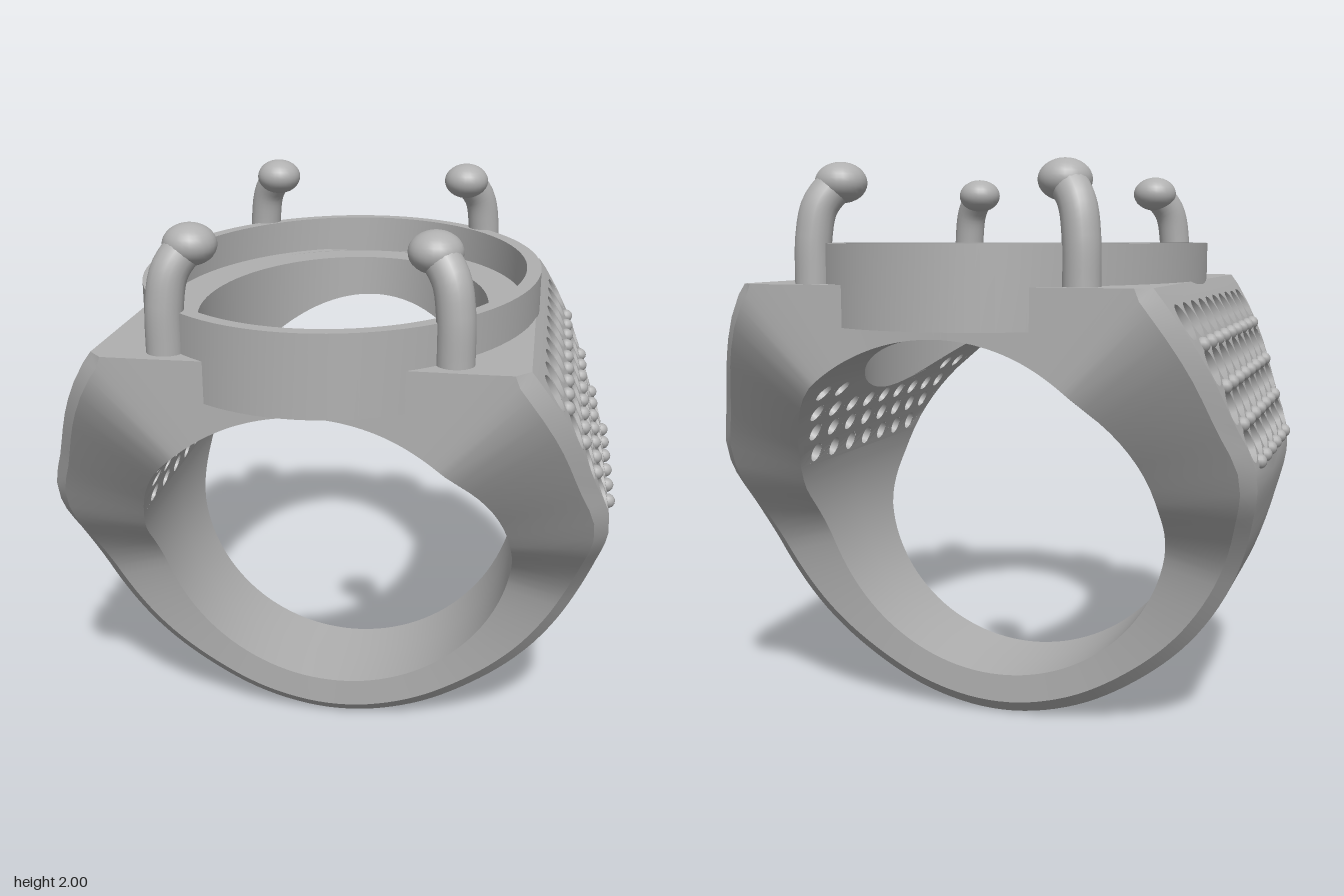
import * as THREE from 'three';
import { mergeGeometries, toCreasedNormals } from 'three/addons/utils/BufferGeometryUtils.js';

const RAD = Math.PI / 180;
const CY = 0.8, BORE = 0.645, TOP = 1.61, PITCH = 0.143;

// smooth interpolation through [angle, value] pairs
function curve(pts) {
  const slope = i => {
    const a = pts[Math.max(i - 1, 0)], b = pts[Math.min(i + 1, pts.length - 1)];
    return (b[1] - a[1]) / (b[0] - a[0]);
  };
  return x => {
    let i = 0;
    while (i < pts.length - 2 && x > pts[i + 1][0]) i++;
    const [x0, y0] = pts[i], [x1, y1] = pts[i + 1], h = x1 - x0, t = (x - x0) / h;
    const t2 = t * t, t3 = t2 * t;
    return (2 * t3 - 3 * t2 + 1) * y0 + (t3 - 2 * t2 + t) * h * slope(i)
      + (3 * t2 - 2 * t3) * y1 + (t3 - t2) * h * slope(i + 1);
  };
}

// angle is measured in degrees around the finger hole, from the side upwards
const sideRadius = curve([[-90, 0.8], [-70, 0.8], [-50, 0.81], [-29, 0.85], [-13, 0.89], [0, 0.93],
  [11.8, 0.981], [24, 0.976], [37.8, 1.012], [50, 1.057]]);
const outerRadius = a => (a < 50 ? sideRadius(a) : (TOP - CY) / Math.sin(a * RAD));
const halfWidth = curve([[-90, 0.207], [-70, 0.21], [-50, 0.22], [-29, 0.245], [-13, 0.285], [-6, 0.33],
  [0, 0.39], [6, 0.46], [18, 0.56], [30, 0.67], [45, 0.81], [50, 0.83], [70, 0.83], [90, 0.83]]);
const chamfer = a => (a <= 50 ? 0.05 : 0);
const ellipse = (x, rx, rz) => (x < rx ? rz * Math.sqrt(1 - (x / rx) ** 2) : 0);
const openTop = a => (a > 50 ? Math.min(halfWidth(a), ellipse(outerRadius(a) * Math.cos(a * RAD), 0.6, 0.84)) : 0);
const openBore = a => (a > 37 ? ellipse(BORE * Math.cos(a * RAD), 0.51, 0.75) : 0);

const polar = (a, r, z) => [r * Math.cos(a * RAD), CY + r * Math.sin(a * RAD), z];
// depth 0 is the outer face, depth 1 the finger hole
const inBody = (a, z, depth) => polar(a, outerRadius(a) * (1 - depth) + BORE * depth, z);

function toGeometry(positions) {
  const g = new THREE.BufferGeometry();
  g.setAttribute('position', new THREE.Float32BufferAttribute(positions, 3));
  return g;
}
function quad(out, a, b, c, d, flip = false) {
  if (flip) [b, d] = [d, b];
  out.push(...a, ...b, ...c, ...a, ...c, ...d);
}

// pave rows: angle of the row, number of seats, and the band of wall around it
const ROWS = [
  { a: 43, n: 10, lo: 37.75, hi: 47.5 }, { a: 34, n: 9, lo: 30, hi: 37.75 },
  { a: 26, n: 8, lo: 22, hi: 30 }, { a: 17.8, n: 7, lo: 13.5, hi: 22 },
];
const spread = n => Array.from({ length: n }, (_, j) => (j - (n - 1) / 2) * PITCH);
const angularScale = depth => (1.05 * (1 - depth) + BORE * depth) * RAD;

// a wall band with round holes, cut flat in (angle, z) and wrapped on the body
function piercedBand(out, contour, holes, a, radius, depth) {
  const shape = new THREE.Shape(contour.map(p => new THREE.Vector2(p[0] * RAD, p[1])));
  for (const z of holes) {
    const path = new THREE.Path();
    path.absellipse(a * RAD, z, radius / angularScale(depth) * RAD, radius, 0, Math.PI * 2, false, 0);
    shape.holes.push(path);
  }
  const g = new THREE.ShapeGeometry(shape, 16), p = g.attributes.position, ix = g.index.array;
  for (let i = 0; i < ix.length; i += 3) {
    const tri = depth ? [ix[i], ix[i + 2], ix[i + 1]] : [ix[i], ix[i + 1], ix[i + 2]];
    for (const k of tri) out.push(...inBody(p.getX(k) / RAD, p.getY(k), depth));
  }
}

// one half of the ring body, x >= 0
function halfBody() {
  const out = [];
  const stations = [];
  for (let a = -90; a < 12; a += 3) stations.push(a);
  stations.push(13.5, 17.75, 22, 26, 30, 33.875, 37.75, 42.625, 47.5, 50);
  for (let a = 52; a <= 90; a += 2) stations.push(a);
  const profile = (a, s) => {
    const w = halfWidth(a), c = chamfer(a), r = outerRadius(a);
    return [polar(a, r, s * openTop(a)), polar(a, r, s * (w - c)), polar(a, r - c, s * w),
      polar(a, BORE, s * w), polar(a, BORE, s * openBore(a))];
  };
  for (const s of [1, -1]) {
    for (let i = 0; i + 1 < stations.length; i++) {
      const a = stations[i], b = stations[i + 1], P = profile(a, s), Q = profile(b, s);
      const pave = a >= 13.5 && b <= 47.5;
      for (let k = 0; k < 4; k++) {
        if (pave && (k === 0 || k === 3)) continue;
        quad(out, P[k], Q[k], Q[k + 1], P[k + 1], s < 0);
      }
    }
  }
  // pierced bands inside and out, and the stepped seats between them
  ROWS.forEach(({ a, n, lo, hi }, row) => {
    const zs = spread(n), steps = [lo, (lo + hi) / 2, hi];
    const back = [...steps].reverse();
    const band = inset => [...steps.map(t => [t, -halfWidth(t) + inset]), ...back.map(t => [t, halfWidth(t) - inset])];
    piercedBand(out, band(0.05), zs, a, 0.064, 0);
    if (row > 0) piercedBand(out, band(0), zs, a, 0.035, 1);
    else for (const s of [1, -1]) {
      const edge = [0, 0.03, 0.1, 0.25, 0.5, 0.75, 1].map(t => lo + (hi - lo) * t);
      piercedBand(out, [...edge.map(t => [t, s * openBore(t)]), ...back.map(t => [t, s * halfWidth(t)])],
        zs.filter(z => z * s > 0.45), a, 0.035, 1);
    }
    for (const z of zs) {
      const end = row === 0 && Math.abs(z) < 0.45 ? 0.8 : 1;
      const rings = [[0.064, 0], [0.058, 0.2], [0.035, 0.2], [0.035, end]];
      const at = ([r, depth], i) => {
        const t = i / 16 * Math.PI * 2;
        return inBody(a + r / angularScale(depth) * Math.cos(t), z + r * Math.sin(t), depth);
      };
      for (let k = 0; k < 3; k++) for (let i = 0; i < 16; i++) {
        quad(out, at(rings[k], i), at(rings[k], i + 1), at(rings[k + 1], i + 1), at(rings[k + 1], i));
      }
    }
  });
  return toGeometry(out);
}

// oval collar with a stone ledge; its bore runs down to the finger hole
function bezelGeometry() {
  const out = [], N = 96;
  const profile = i => {
    const t = i / N * Math.PI * 2, c = Math.cos(t), s = Math.sin(t);
    const low = CY + Math.sqrt(BORE ** 2 - (0.51 * c) ** 2);
    return [[0.51, 0.75, low], [0.51, 0.75, 1.6], [0.64, 0.88, 1.6], [0.64, 0.88, 1.74],
      [0.69, 0.93, 1.74], [0.69, 0.93, 1.475], [0.51, 0.75, 1.475]].map(([rx, rz, y]) => [rx * c, y, rz * s]);
  };
  for (let i = 0; i < N; i++) {
    const P = profile(i), Q = profile(i + 1);
    for (let k = 0; k + 1 < P.length; k++) quad(out, P[k], Q[k], Q[k + 1], P[k + 1]);
  }
  return toCreasedNormals(toGeometry(out), 0.5);
}

export function createModel() {
  const group = new THREE.Group();
  const metal = new THREE.MeshStandardMaterial({ color: 0xb0b0b0 });
  metal.name = 'grey metal';
  const add = (name, geometry) => {
    const mesh = new THREE.Mesh(geometry, metal);
    mesh.name = name;
    group.add(mesh);
    return mesh;
  };

  const half = halfBody();
  add('ringBody', toCreasedNormals(mergeGeometries([half, half.clone().rotateY(Math.PI)]), 0.5));
  add('bezel', bezelGeometry());

  // small beads between the pave seats
  const beads = [];
  [38.4, 30, 22, 13.9].forEach((a, row) => {
    for (const z of spread(9 - row)) for (const s of [1, -1]) {
      const [x, y] = inBody(a, z, 0);
      beads.push(new THREE.SphereGeometry(0.025, 12, 8).translate(s * x, y, z));
    }
  });
  add('paveBeads', mergeGeometries(beads));

  // four bent claws with rounded tips
  for (const sx of [1, -1]) for (const sz of [1, -1]) {
    const path = new THREE.CatmullRomCurve3([[0.45, 1.5, 0.74], [0.45, 1.62, 0.74], [0.447, 1.76, 0.737],
      [0.43, 1.86, 0.722], [0.38, 1.94, 0.68]].map(([x, y, z]) => new THREE.Vector3(sx * x, y, sz * z)));
    add('claw', new THREE.TubeGeometry(path, 20, 0.06, 20));
    const tip = add('clawTip', new THREE.SphereGeometry(1, 24, 16));
    tip.scale.set(0.085, 0.066, 0.085);
    tip.position.set(sx * 0.377, 1.934, sz * 0.672);
  }
  return group;
}
